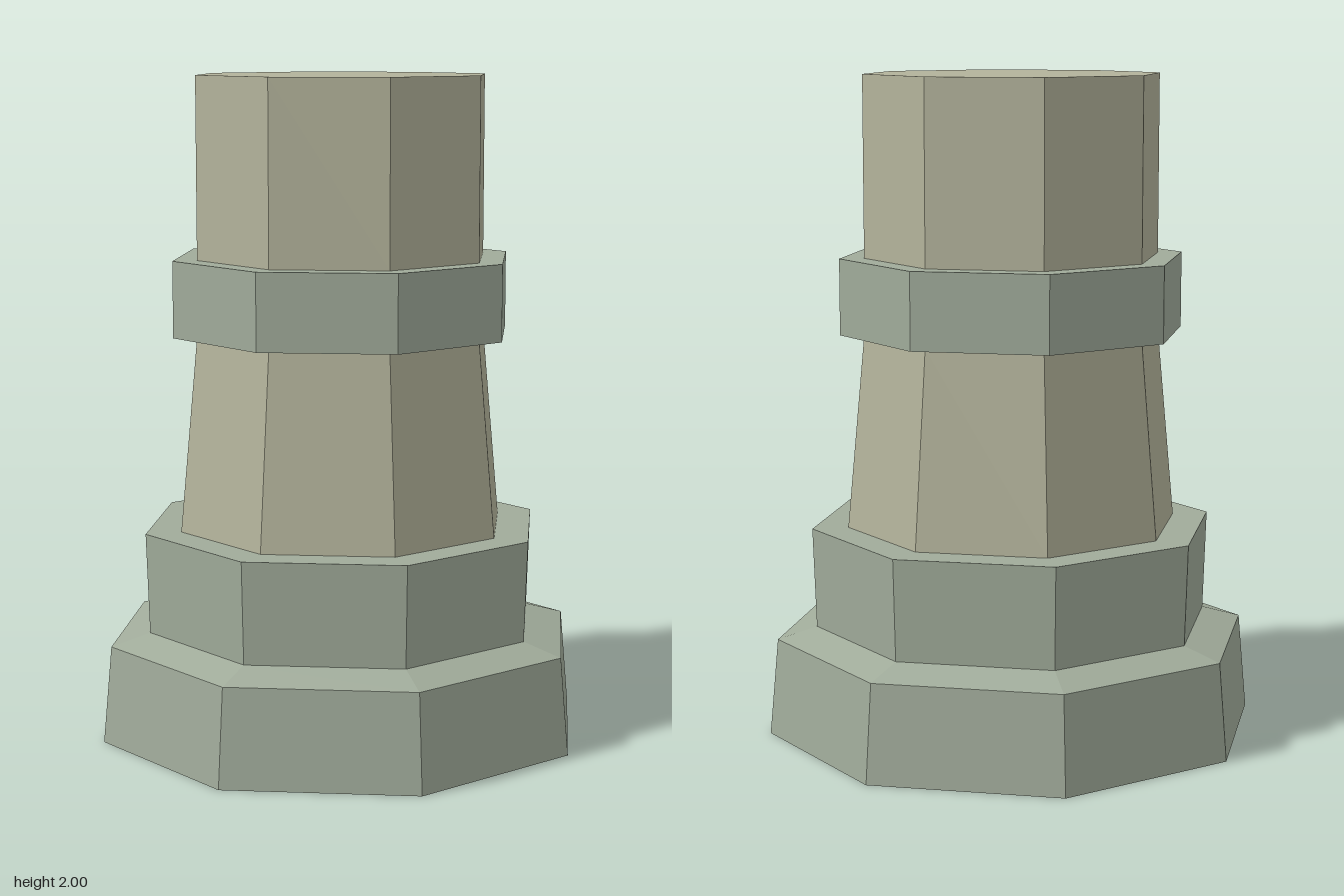
import * as THREE from 'three';

const SIDES = 8;

export function createModel() {
  const model = new THREE.Group();
  model.name = 'octagonalPillar';

  const trim = new THREE.MeshStandardMaterial({ color: 0xa0ab9a, flatShading: true });
  const stone = new THREE.MeshStandardMaterial({ color: 0xb3b39b, flatShading: true });

  // Each part is an eight-sided turning of [radius, height] points, listed bottom to top
  const addTurned = (name, material, profile) => {
    const points = profile.map(([r, y]) => new THREE.Vector2(r, y));
    const mesh = new THREE.Mesh(new THREE.LatheGeometry(points, SIDES), material);
    mesh.name = name;
    model.add(mesh);
  };

  // Stepped foot: battered plinth, sloped ledge and slightly flared upper block
  addTurned('base', trim, [
    [0, 0], [0.757, 0], [0.73, 0.295], [0.61, 0.33], [0.62, 0.635], [0.51, 0.635],
  ]);

  // Tapered lower shaft
  addTurned('lowerShaft', stone, [[0.51, 0.635], [0.455, 1.225]]);

  // Projecting band around the shaft
  addTurned('collar', trim, [
    [0.455, 1.225], [0.528, 1.225], [0.528, 1.455], [0.453, 1.455],
  ]);

  // Straight upper shaft with a flat top
  addTurned('upperShaft', stone, [[0.453, 1.455], [0.453, 2], [0, 2]]);

  return model;
}
